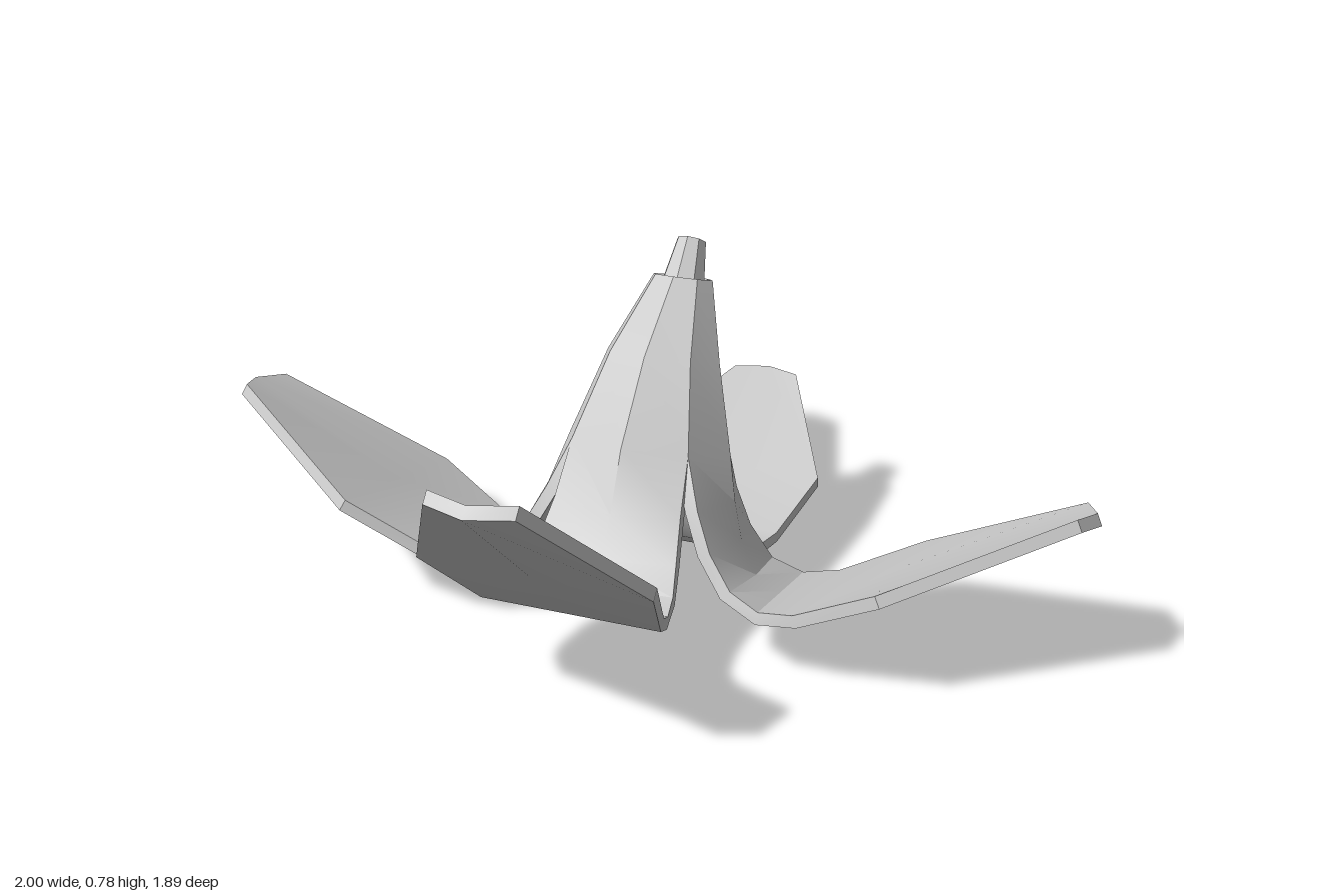
import * as THREE from 'three';
import { toCreasedNormals } from 'three/addons/utils/BufferGeometryUtils.js';

const THICK = 0.028;
const V = (x, y, z) => new THREE.Vector3(x, y, z);

// Tilted rings of the closed sleeve: [y, z, radius], top to bottom
const rings = [[0.705, -0.23, 0.07], [0.565, -0.1, 0.132], [0.39, -0.01, 0.19]];

function ringPoint([y, z, r], a) {
  return V(0, y, z)
    .addScaledVector(V(1, 0, 0), r * Math.sin(a))
    .addScaledVector(V(0, 0.35, 0.94), r * Math.cos(a));
}

// Free part of each petal: [outward distance, y, sideways z, half width, edge pull-back]
const frontRows = [
  [0.235, 0.33, 0, 0.145, 0.04], [0.29, 0.25, 0, 0.16, 0.025], [0.335, 0.212, 0, 0.175, 0.01],
  [0.39, 0.205, 0, 0.187, 0], [0.45, 0.238, 0, 0.2, 0], [0.63, 0.42, 0, 0.25, 0], [0.925, 0.7, 0, 0.09, 0.03]];
const backRows = [
  [0.17, 0.22, 0, 0.145, 0.04], [0.18, 0.15, 0, 0.155, 0.025], [0.21, 0.08, 0, 0.175, 0.01],
  [0.26, 0.04, 0, 0.195, 0], [0.33, 0.035, 0, 0.21, 0], [0.53, 0.095, 0, 0.255, 0], [0.94, 0.19, 0, 0.085, 0.03]];
const sideRows = [
  [0.215, 0.3, 0.03, 0.145, 0.04], [0.24, 0.22, 0.055, 0.155, 0.025], [0.28, 0.15, 0.07, 0.167, 0.01],
  [0.34, 0.122, 0.075, 0.187, 0], [0.42, 0.135, 0.07, 0.21, 0], [0.6, 0.225, 0.055, 0.262, 0], [0.99, 0.405, 0.01, 0.09, 0.03]];

// One petal: a solid strip that starts as a quarter of the sleeve and curls outward
function petalGeometry(angle, freeRows) {
  const out = V(Math.round(Math.sin(angle)), 0, Math.round(Math.cos(angle)));
  const across = V(out.z, -0.26 * out.x, -0.965 * out.x);
  const rows = rings.map(r => [-Math.PI / 4, 0, Math.PI / 4].map(d => ringPoint(r, angle + d)));
  for (const [dist, y, z, w, pull] of freeRows) {
    const mid = out.clone().multiplyScalar(dist).add(V(0, y, z));
    const edge = s => mid.clone().addScaledVector(across, s * w).addScaledVector(out, -pull);
    rows.push([edge(-1), mid, edge(1)]);
  }

  // Closed six-point section: outer face, then inner face
  const pos = [], idx = [], last = rows.length - 1;
  rows.forEach((row, i) => {
    const tangent = rows[Math.min(i + 1, last)][1].clone().sub(rows[Math.max(i - 1, 0)][1]);
    const normal = tangent.cross(across).normalize();
    const inner = row.map(p => p.clone().addScaledVector(normal, -THICK)).reverse();
    [...row, ...inner].forEach(p => pos.push(p.x, p.y, p.z));
  });
  const quad = (a, b, c, d) => idx.push(a, b, c, a, c, d);
  for (let i = 0; i < last; i++) {
    for (let j = 0; j < 6; j++) {
      const k = (j + 1) % 6, a = i * 6, b = a + 6;
      quad(a + j, b + j, b + k, a + k);
    }
  }
  const e = last * 6;
  quad(0, 1, 4, 5);
  quad(1, 2, 3, 4);
  quad(e + 5, e + 4, e + 1, e);
  quad(e + 4, e + 3, e + 2, e + 1);

  const geo = new THREE.BufferGeometry();
  geo.setAttribute('position', new THREE.Float32BufferAttribute(pos, 3));
  geo.setIndex(idx);
  return toCreasedNormals(geo, 0.5);
}

export function createModel() {
  const group = new THREE.Group();
  const material = new THREE.MeshStandardMaterial({ color: 0xcccccc });

  const petals = [
    ['frontPetal', frontRows], ['leftPetal', sideRows],
    ['backPetal', backRows], ['rightPetal', sideRows]];
  petals.forEach(([name, rows], i) => {
    const mesh = new THREE.Mesh(petalGeometry(i * Math.PI / 2, rows), material);
    mesh.name = name;
    group.add(mesh);
  });

  // Short tapered stem emerging from the sleeve
  const bottom = V(0, 0.64, -0.195), top = V(0, 0.773, -0.287);
  const dir = top.clone().sub(bottom);
  const stemMaterial = material.clone();
  stemMaterial.flatShading = true;
  const stem = new THREE.Mesh(new THREE.CylinderGeometry(0.034, 0.06, dir.length(), 8), stemMaterial);
  stem.name = 'stem';
  stem.position.copy(bottom).add(top).multiplyScalar(0.5);
  stem.quaternion.setFromUnitVectors(V(0, 1, 0), dir.normalize());
  group.add(stem);

  return group;
}
